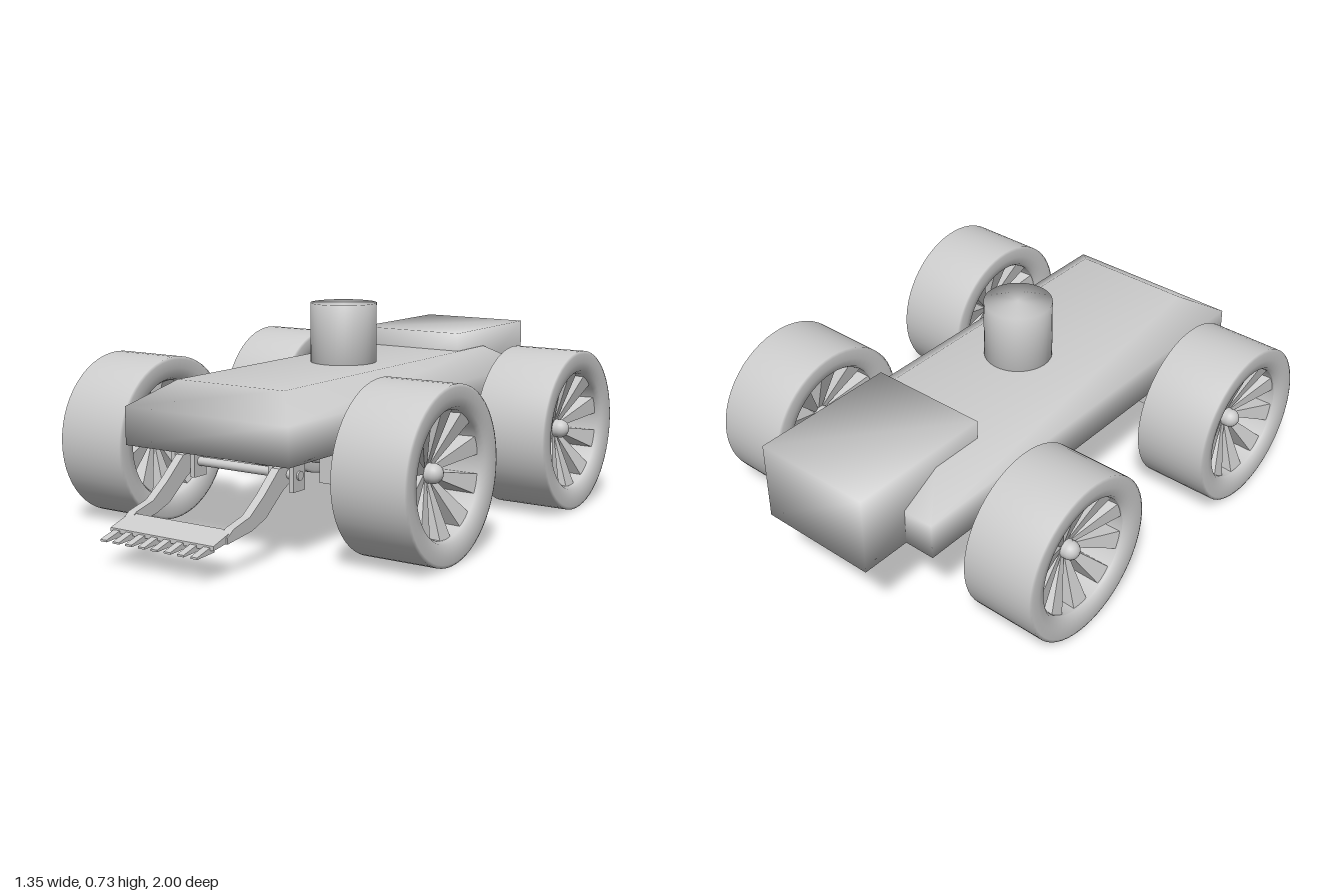
import * as THREE from 'three';
import { mergeVertices } from 'three/addons/utils/BufferGeometryUtils.js';

const grey = new THREE.MeshStandardMaterial({ color: 0xcccccc });
const CX = -0.015; // centre line of the chassis

function add(parent, name, geometry, x = 0, y = 0, z = 0) {
  const mesh = new THREE.Mesh(geometry, grey);
  mesh.name = name;
  mesh.position.set(x, y, z);
  parent.add(mesh);
  return mesh;
}

// Welds corners so shading runs smoothly over the edges
function smooth(geometry) {
  geometry.deleteAttribute('normal');
  geometry.deleteAttribute('uv');
  const g = mergeVertices(geometry);
  g.computeVertexNormals();
  return g;
}

// Moves every vertex by a rule
function reshape(geometry, rule) {
  const p = geometry.attributes.position;
  const v = new THREE.Vector3();
  for (let i = 0; i < p.count; i++) {
    rule(v.fromBufferAttribute(p, i));
    p.setXYZ(i, v.x, v.y, v.z);
  }
  geometry.computeVertexNormals();
  return geometry;
}

// Side outline given as [z, y] points, extruded along x
function sidePlate(points, width) {
  const shape = new THREE.Shape(points.map(([z, y]) => new THREE.Vector2(-z, y)));
  const g = new THREE.ExtrudeGeometry(shape, { depth: width, bevelEnabled: false });
  return g.translate(0, 0, -width / 2).rotateY(Math.PI / 2);
}

// Wheel around the x axis: hollow tyre, flared spokes and hub
function makeWheel(name) {
  const wheel = new THREE.Group();
  wheel.name = name;
  const profile = [
    [0.2, -0.11], [0.21, -0.125], [0.24, -0.132], [0.27, -0.132], [0.28, -0.128],
    [0.28, 0], [0.28, 0.128], [0.27, 0.132], [0.24, 0.132], [0.21, 0.125],
    [0.2, 0.11], [0.196, 0], [0.2, -0.11],
  ].map(([r, a]) => new THREE.Vector2(r, a));
  add(wheel, 'tyre', new THREE.LatheGeometry(profile, 56).rotateZ(-Math.PI / 2));

  const spoke = reshape(new THREE.BoxGeometry(1, 1, 1), (v) => {
    const t = v.y + 0.5;
    v.set(v.x * (0.08 + 0.13 * t), 0.02 + 0.182 * t, v.z * (0.014 + 0.05 * t));
  });
  for (let i = 0; i < 10; i++) {
    add(wheel, 'spoke', spoke).rotation.x = (i * Math.PI) / 5;
  }
  add(wheel, 'hub', new THREE.CylinderGeometry(0.032, 0.032, 0.12, 20).rotateZ(Math.PI / 2));
  for (const s of [-1, 1]) {
    add(wheel, 'hubCap', new THREE.SphereGeometry(0.032, 20, 12), s * 0.06);
  }
  return wheel;
}

// Front scoop: two bent arms, a sloping blade and teeth
function makeScoop() {
  const scoop = new THREE.Group();
  scoop.name = 'scoop';
  const arm = sidePlate([
    [0.55, 0.29], [0.53, 0.25], [0.6, 0.215], [0.69, 0.145], [0.76, 0.12],
    [0.88, 0.105], [0.88, 0.125], [0.85, 0.145], [0.77, 0.165], [0.7, 0.215], [0.62, 0.285],
  ], 0.03);
  for (const s of [-1, 1]) add(scoop, 'scoopArm', arm, CX + s * 0.19);
  add(scoop, 'scoopBlade', sidePlate([
    [0.85, 0.14], [0.85, 0.112], [0.94, 0.098], [0.94, 0.112],
  ], 0.4), CX);
  const tooth = sidePlate([[0.92, 0.112], [0.92, 0.088], [1, 0.084], [1, 0.09]], 0.025);
  for (let i = 0; i < 8; i++) add(scoop, 'scoopTooth', tooth, CX + (i - 3.5) * 0.05);

  // Pivot bar and its hangers
  add(scoop, 'pivotBar', new THREE.CylinderGeometry(0.015, 0.015, 0.5, 16).rotateZ(Math.PI / 2), CX, 0.26, 0.57);
  for (const s of [-1, 1]) {
    for (const x of [0.155, 0.235]) {
      add(scoop, 'pivotHanger', new THREE.BoxGeometry(0.017, 0.115, 0.06), CX + s * x, 0.268, 0.57);
    }
  }
  return scoop;
}

export function createModel() {
  const model = new THREE.Group();
  model.name = 'buggy';

  // Body: straight sides below, sloping shoulders up to a flat deck
  const body = reshape(new THREE.BoxGeometry(2, 1, 2, 1, 2, 1), (v) => {
    const deck = v.y > 0.1;
    const y = deck ? 0.525 : v.y < -0.1 ? 0.32 : 0.445;
    const z = v.z > 0 ? (deck ? 0.6 : 0.73) : (deck ? -0.68 : -0.825);
    v.set(CX + v.x * (deck ? 0.21 : 0.32), y, z);
  });
  add(model, 'body', smooth(body));

  // Rear engine box and centre turret
  add(model, 'engineBox', smooth(new THREE.BoxGeometry(0.415, 0.27, 0.51)), CX - 0.003, 0.455, -0.745);
  add(model, 'turret', smooth(new THREE.CylinderGeometry(0.115, 0.115, 0.23, 40)), CX, 0.615, -0.043);

  // Three small nozzles under the engine box
  for (const x of [-0.115, 0, 0.115]) {
    add(model, 'nozzle', new THREE.CylinderGeometry(0.022, 0.011, 0.028, 16), CX + x, 0.309, -0.91);
    add(model, 'nozzleTip', new THREE.SphereGeometry(0.013, 14, 10), CX + x, 0.291, -0.91);
  }

  // Axles with bearing blocks and wheels
  for (const [end, z] of [['front', 0.395], ['rear', -0.495]]) {
    add(model, end + 'Axle', new THREE.CylinderGeometry(0.022, 0.022, 1.08, 20).rotateZ(Math.PI / 2), 0, 0.285, z);
    for (const s of [-1, 1]) {
      add(model, 'bearingBlock', new THREE.BoxGeometry(0.055, 0.115, 0.085), CX + s * 0.255, 0.268, z);
      const wheel = makeWheel(end + (s > 0 ? 'Left' : 'Right') + 'Wheel');
      wheel.position.set(s * 0.543, 0.28, z);
      model.add(wheel);
    }
  }

  model.add(makeScoop());
  return model;
}
